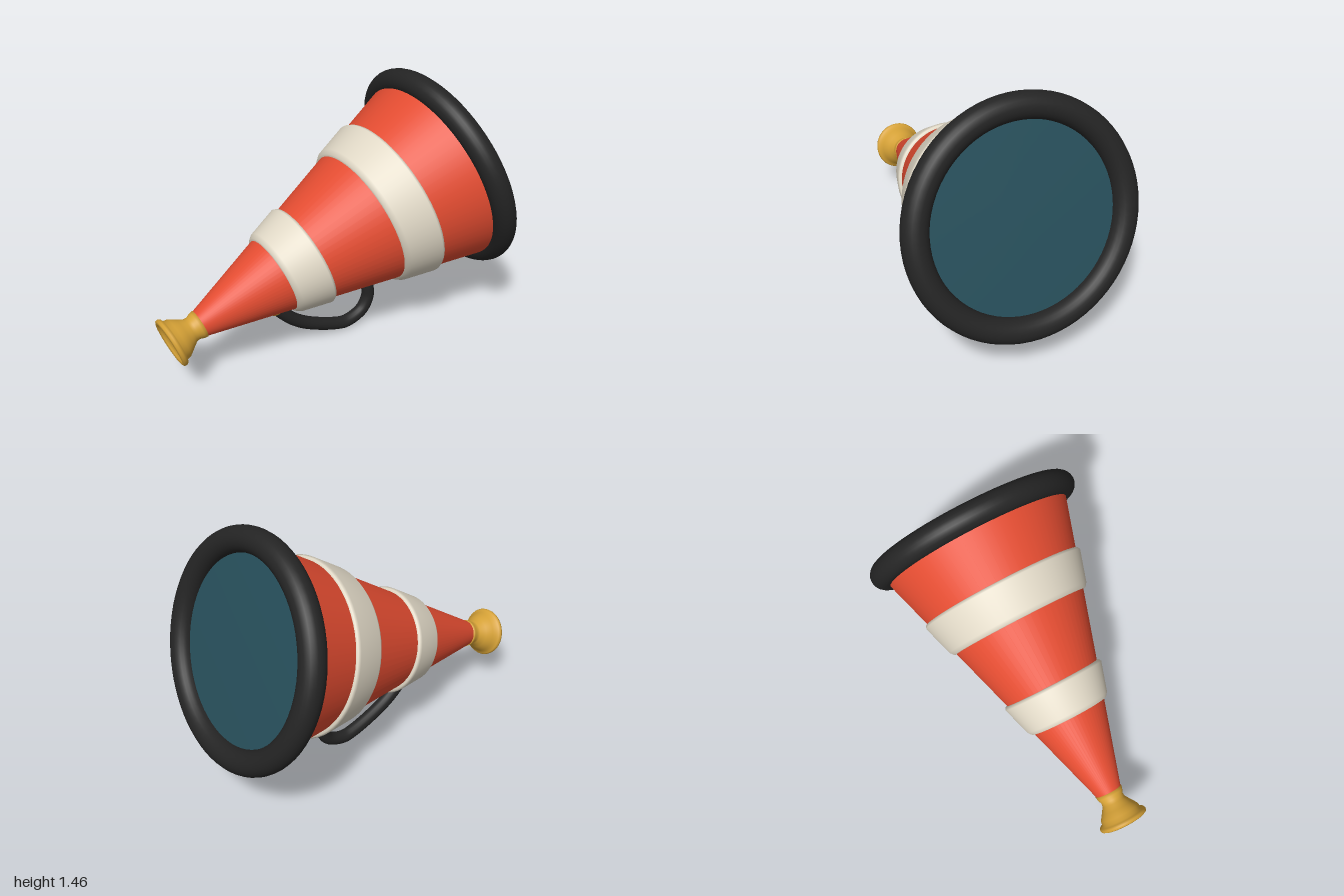
import * as THREE from 'three';

const mat = (name, color) => {
  const m = new THREE.MeshStandardMaterial({ color });
  m.name = name;
  return m;
};

export function createModel() {
  const orange = mat('orange', 0xe34c31);
  const cream = mat('cream', 0xe0d8c6);
  const black = mat('black', 0x242424);
  const gold = mat('gold', 0xd5a136);
  const teal = mat('teal', 0x274f5b);

  const model = new THREE.Group();
  model.name = 'megaphone';

  const add = (parent, name, geometry, material) => {
    const mesh = new THREE.Mesh(geometry, material);
    mesh.name = name;
    parent.add(mesh);
    return mesh;
  };
  const lathe = (points) =>
    new THREE.LatheGeometry(points.map(([r, y]) => new THREE.Vector2(r, y)), 64);

  // Horn: built along local y with the rim centre at the origin, then tilted 18 degrees up
  const horn = new THREE.Group();
  horn.name = 'horn';
  horn.position.set(0.755, 0.877, 0);
  horn.rotation.z = THREE.MathUtils.degToRad(-72);
  model.add(horn);

  const coneRadius = (y) => 0.56 + 0.301 * y;
  add(horn, 'cone', lathe([-1.62, -0.02].map((y) => [coneRadius(y), y])), orange);

  // Raised bands with bevelled ends
  [['rearBand', -1.145, -0.938], ['frontBand', -0.56, -0.343]].forEach(([name, a, b]) => {
    const profile = [[a, -0.003], [a + 0.003, 0.013], [a + 0.025, 0.024],
      [b - 0.018, 0.024], [b - 0.003, 0.013], [b, -0.003]];
    add(horn, name, lathe(profile.map(([y, lift]) => [coneRadius(y) + lift, y])), cream);
  });

  // Rim and the disc that closes the mouth
  const rim = add(horn, 'rim', new THREE.TorusGeometry(0.552, 0.068, 24, 72), black);
  rim.rotation.x = Math.PI / 2;
  add(horn, 'mouthDisc', lathe([[0.52, -0.02], [0.52, 0], [0, 0]]), teal);

  // Mouthpiece: dished end, rounded lip, flare and throat
  add(horn, 'mouthpiece', lathe([
    [0, -1.775], [0.1, -1.775], [0.112, -1.795], [0.125, -1.803], [0.137, -1.797],
    [0.14, -1.785], [0.134, -1.773], [0.118, -1.766], [0.113, -1.742], [0.09, -1.708],
    [0.068, -1.675], [0.066, -1.655], [0.076, -1.63], [0.079, -1.612], [0.06, -1.61],
  ]), gold);

  // Handle
  const path = new THREE.CatmullRomCurve3([
    [-0.335, 0.325], [-0.295, 0.275], [-0.215, 0.195], [-0.115, 0.13], [0.07, 0.056],
    [0.147, 0.045], [0.25, 0.088], [0.292, 0.168], [0.288, 0.25], [0.285, 0.33],
  ].map(([x, y]) => new THREE.Vector3(x, y, 0)));
  add(model, 'handle', new THREE.TubeGeometry(path, 64, 0.037, 16), black);

  // Handle mounts
  [['rearMount', -0.333, 0.318], ['frontMount', 0.285, 0.335]].forEach(([name, x, y]) => {
    add(model, name, new THREE.SphereGeometry(0.049, 24, 16), gold).position.set(x, y, 0);
  });

  return model;
}
